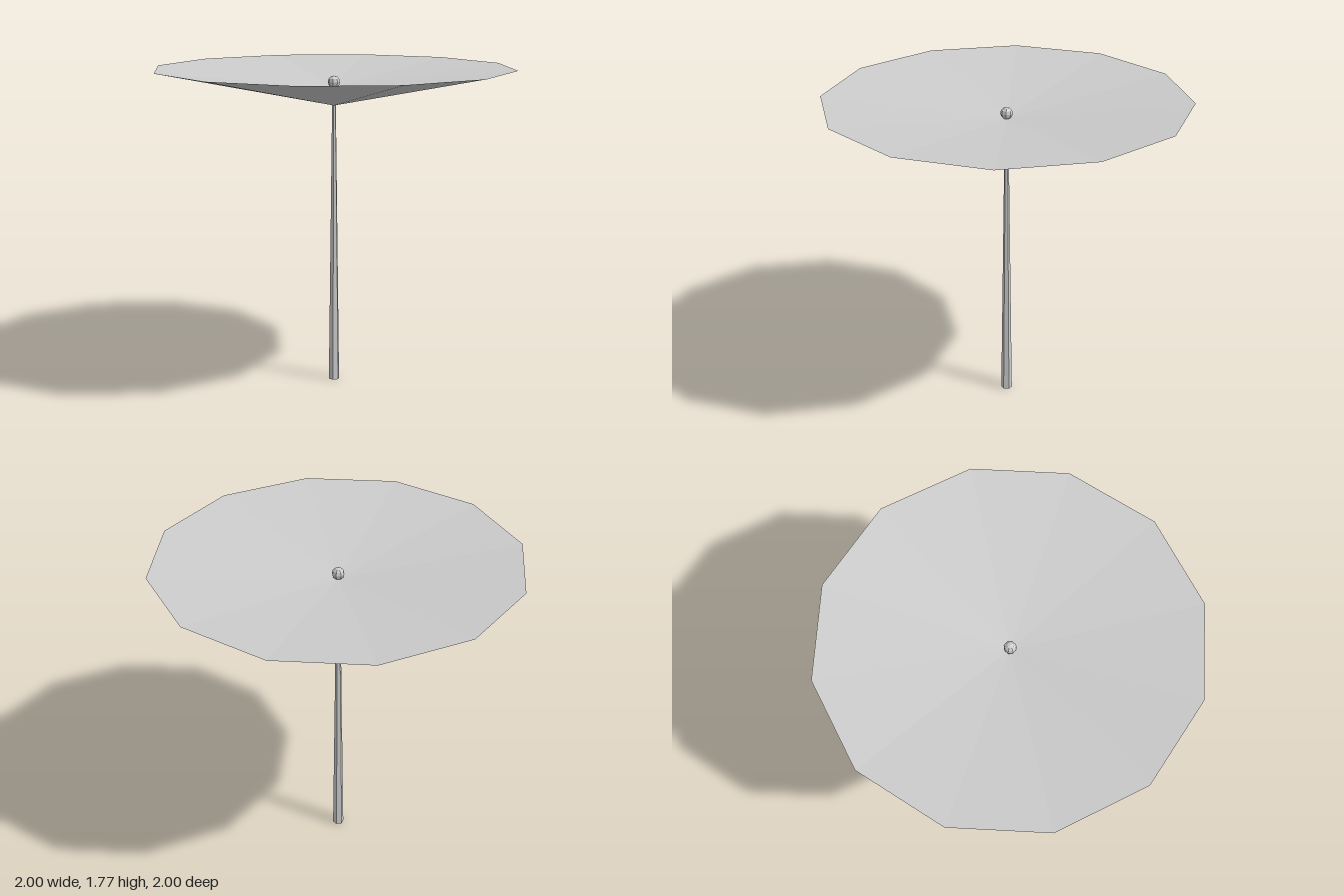
import * as THREE from 'three';

const SIDES = 12, RIM_Y = 1.775;

export function createModel() {
  const group = new THREE.Group();
  const material = new THREE.MeshStandardMaterial({ color: 0xcccccc, flatShading: true });
  const canopyMaterial = new THREE.MeshStandardMaterial({
    color: 0xcccccc, flatShading: true, side: THREE.DoubleSide,
  });

  const add = (name, geometry, y, mat = material) => {
    const mesh = new THREE.Mesh(geometry, mat);
    mesh.name = name;
    mesh.position.y = y;
    group.add(mesh);
    return mesh;
  };

  // Tapered six-sided pole, standing on the ground and reaching into the canopy
  const poleHeight = 1.66;
  add('pole', new THREE.CylinderGeometry(0.01, 0.031, poleHeight, 6), poleHeight / 2);

  // Canopy turned inside out: steep underside and a shallower dish sharing one rim
  const profile = [[0, 1.57], [1, RIM_Y], [0, 1.67]].map(([r, y]) => new THREE.Vector2(r, y));
  add('canopy', new THREE.LatheGeometry(profile, SIDES), 0, canopyMaterial);

  // Small faceted knob in the middle of the dish
  add('knob', new THREE.SphereGeometry(0.034, 8, 6), 1.70);

  return group;
}
